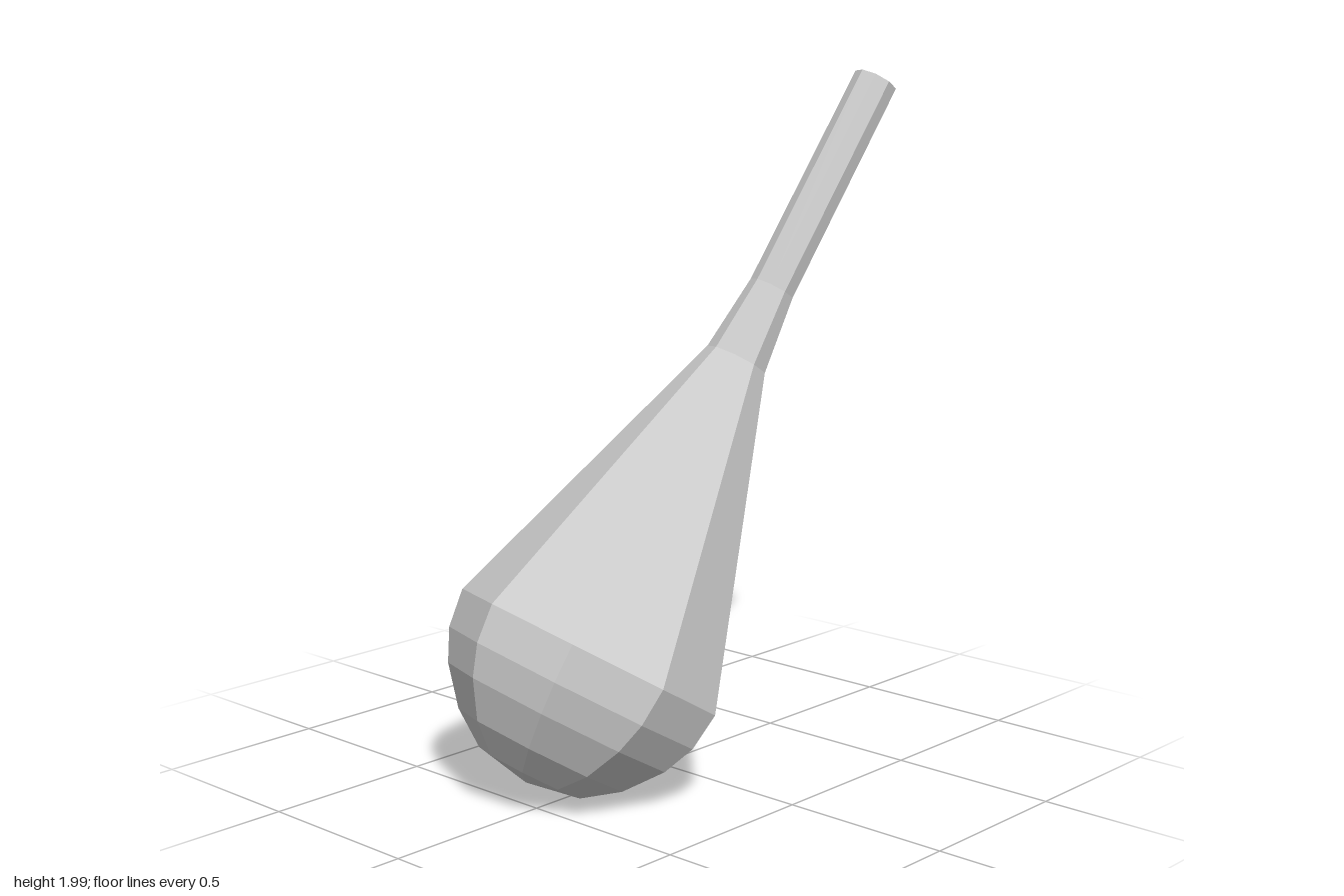
import * as THREE from 'three';

export function createModel() {
  const group = new THREE.Group();
  group.name = 'flask';

  // Radius and height along the axis, measured from the widest ring
  const profile = [
    [0, -0.4], [0.16, -0.37], [0.26, -0.3], [0.343, -0.2], [0.385, -0.11], // rounded base
    [0.4, 0], // widest ring
    [0.092, 0.922], [0.067, 1.15], [0.065, 1.828], // shoulder, neck and open mouth
  ].map(([r, h]) => new THREE.Vector2(r, h));

  // Nine-sided bulb tapering into a narrow open neck
  const sides = 9;
  const geometry = new THREE.LatheGeometry(profile, sides, THREE.MathUtils.degToRad(-6.8));
  const material = new THREE.MeshStandardMaterial({
    color: 0xcccccc, flatShading: true, side: THREE.DoubleSide,
  });
  const body = new THREE.Mesh(geometry, material);
  body.name = 'bulbAndNeck';

  // Lean the axis back and slightly to the side
  const axis = new THREE.Vector3(0.265, 1.56, -0.91).normalize();
  body.quaternion.setFromUnitVectors(new THREE.Vector3(0, 1, 0), axis);
  body.position.set(0, 0.407, 0.285);
  group.add(body);

  // Stand the lowest point on the ground
  group.updateMatrixWorld(true);
  body.position.y -= new THREE.Box3().setFromObject(group, true).min.y;
  return group;
}
